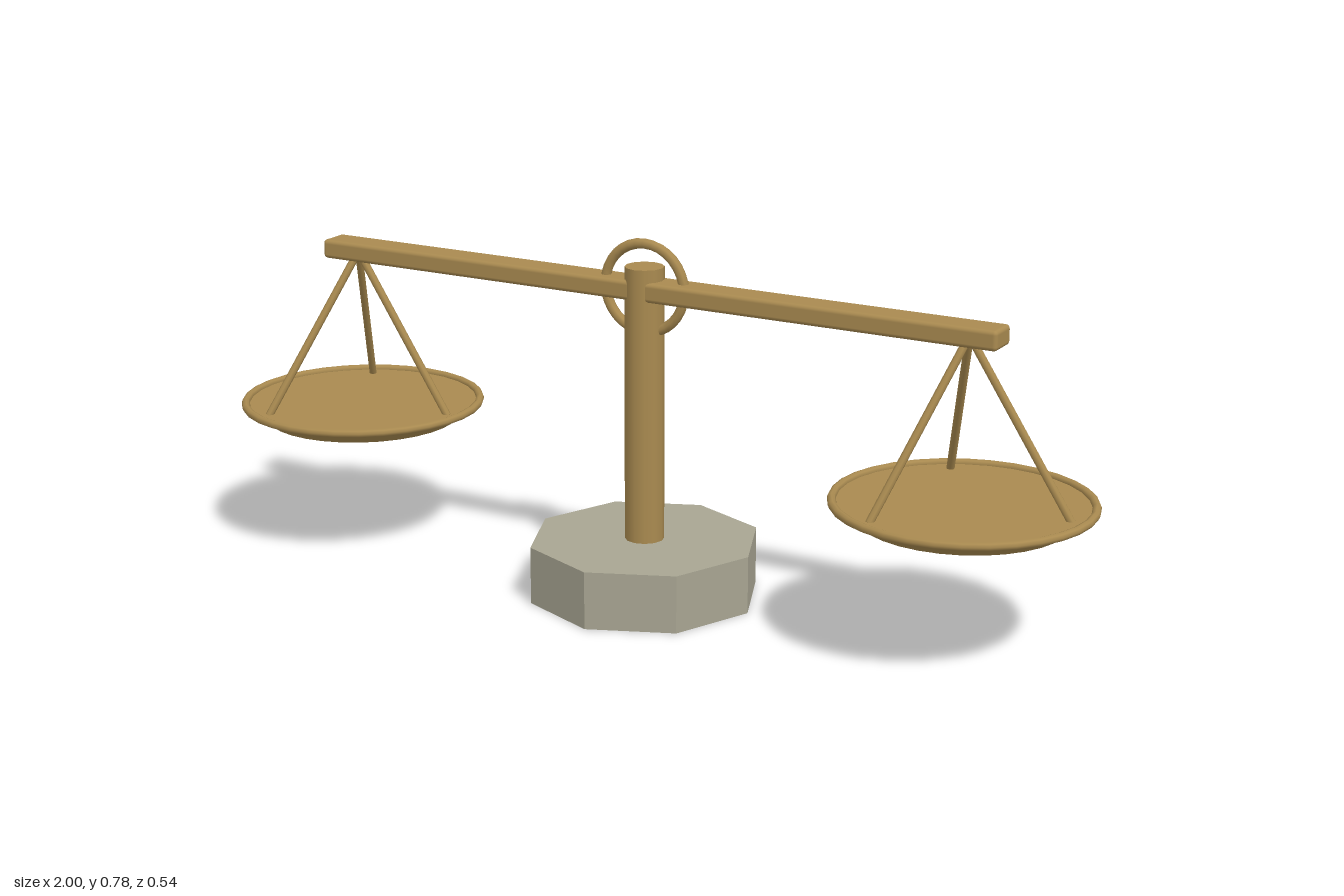
import * as THREE from 'three';
import { RoundedBoxGeometry } from 'three/addons/geometries/RoundedBoxGeometry.js';

const wood = new THREE.MeshStandardMaterial({ color: 0xa98a50 });
const stone = new THREE.MeshStandardMaterial({ color: 0xa8a592, flatShading: true });

function add(parent, name, geometry, material, x = 0, y = 0, z = 0) {
  const mesh = new THREE.Mesh(geometry, material);
  mesh.name = name;
  mesh.position.set(x, y, z);
  parent.add(mesh);
  return mesh;
}

// Straight round rod between two points
function addRod(parent, name, from, to, radius) {
  const dir = to.clone().sub(from);
  const mid = from.clone().add(to).multiplyScalar(0.5);
  const rod = add(parent, name, new THREE.CylinderGeometry(radius, radius, dir.length(), 8), wood, mid.x, mid.y, mid.z);
  rod.quaternion.setFromUnitVectors(new THREE.Vector3(0, 1, 0), dir.normalize());
}

// Shallow dish with a raised rim, hung from three rods
function createPan(name, x) {
  const pan = new THREE.Group();
  pan.name = name;
  pan.position.x = x;
  add(pan, 'dish', new THREE.CylinderGeometry(0.262, 0.215, 0.034, 32), wood, 0, 0.308, 0);
  add(pan, 'rim', new THREE.TorusGeometry(0.262, 0.009, 8, 32), wood, 0, 0.326, 0).rotation.x = Math.PI / 2;
  for (let i = 0; i < 3; i++) {
    const a = (i * Math.PI * 2) / 3;
    addRod(pan, 'hangerRod',
      new THREE.Vector3(0, 0.668, 0),
      new THREE.Vector3(0.227 * Math.cos(a), 0.322, 0.227 * Math.sin(a)), 0.0085);
  }
  return pan;
}

export function createModel() {
  const model = new THREE.Group();
  model.name = 'balanceScale';

  // Octagonal stone base and upright post
  add(model, 'base', new THREE.CylinderGeometry(0.25, 0.25, 0.125, 8), stone, 0, 0.0625, 0);
  add(model, 'post', new THREE.CylinderGeometry(0.042, 0.042, 0.597, 12), wood, 0, 0.4215, 0);

  // Cross beam with the ring at its pivot
  add(model, 'beam', new RoundedBoxGeometry(1.6, 0.042, 0.072, 2, 0.009), wood, 0, 0.672, 0);
  add(model, 'pivotRing', new THREE.TorusGeometry(0.094, 0.011, 8, 32), wood, 0, 0.674, 0);

  model.add(createPan('leftPan', 0.729), createPan('rightPan', -0.729));
  return model;
}
